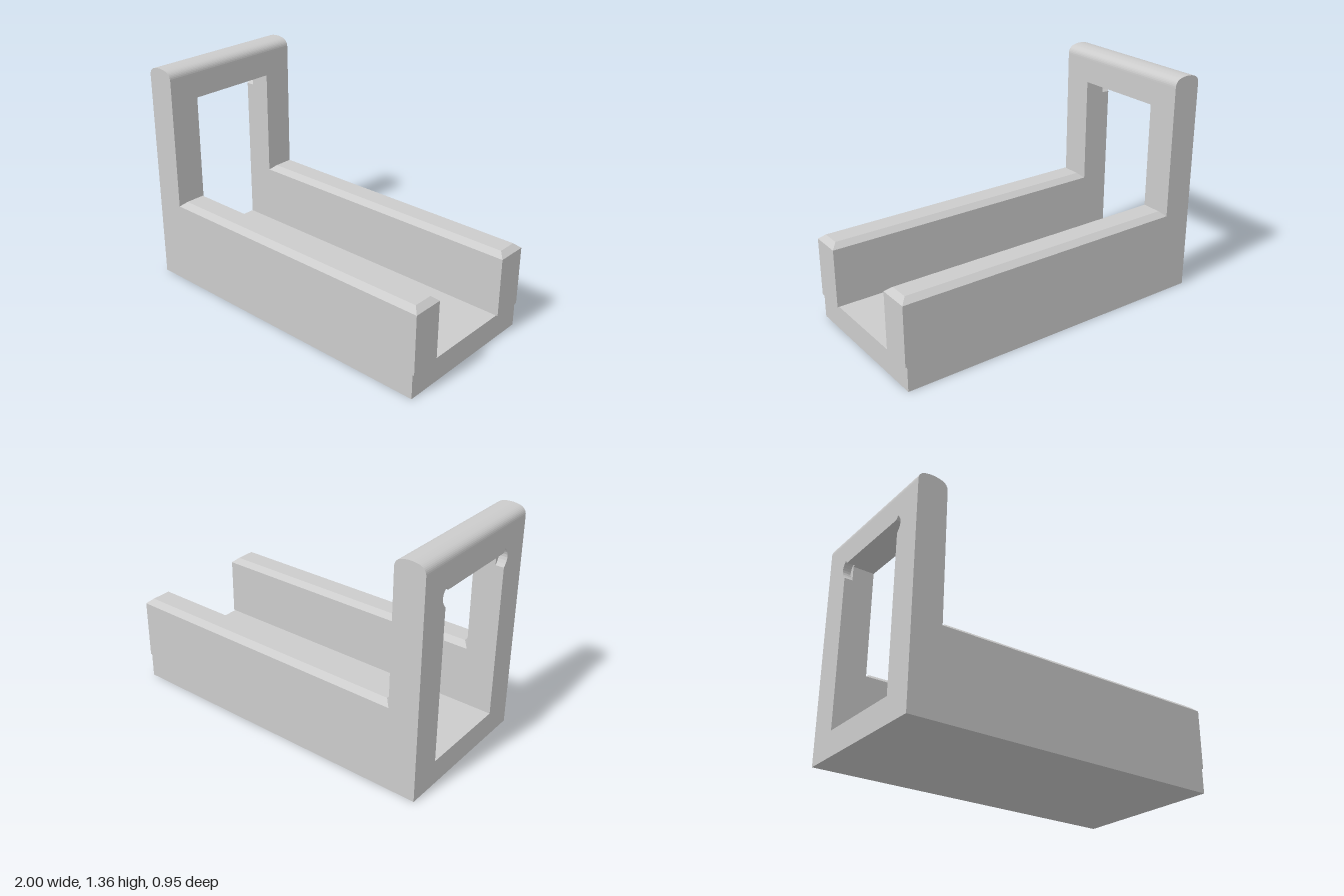
import * as THREE from 'three';

const W = 0.475;   // half width
const IN = 0.285;  // half width of the channel and opening
const FLOOR = 0.15;
const CAP = 1.25;  // height where the top bar's rounded cap begins

const material = new THREE.MeshStandardMaterial({ color: 0xcccccc, flatShading: true });

function mesh(name, geometry) {
  const m = new THREE.Mesh(geometry, material);
  m.name = name;
  return m;
}

// Upright frame slice in the z-y plane, extruded from x towards -x
function frameSlice(x, depth, notched) {
  const shape = new THREE.Shape();
  shape.moveTo(-W, 0).lineTo(W, 0).lineTo(W, CAP).lineTo(-W, CAP).closePath();
  const hole = new THREE.Path();
  hole.moveTo(-IN, FLOOR);
  if (notched) {
    // shallow relief in both upper corners
    hole.lineTo(-IN, 1.07).quadraticCurveTo(-IN - 0.05, 1.12, -IN - 0.015, 1.165).lineTo(-IN, 1.18);
    hole.lineTo(-IN + 0.015, 1.16).lineTo(IN - 0.015, 1.16).lineTo(IN, 1.18);
    hole.lineTo(IN + 0.015, 1.165).quadraticCurveTo(IN + 0.05, 1.12, IN, 1.07);
  } else {
    hole.lineTo(-IN, 1.16).lineTo(IN, 1.16);
  }
  hole.lineTo(IN, FLOOR).closePath();
  shape.holes.push(hole);
  const g = new THREE.ExtrudeGeometry(shape, { depth, bevelEnabled: false, curveSegments: 6 });
  g.rotateY(-Math.PI / 2);
  return g.translate(x, 0, 0);
}

// Rounded crown of the frame, profile in x-y
function crown() {
  const s = new THREE.Shape();
  s.moveTo(-1, CAP).lineTo(-0.82, CAP).lineTo(-0.82, 1.305);
  s.quadraticCurveTo(-0.82, 1.345, -0.86, 1.357);
  s.quadraticCurveTo(-0.91, 1.37, -0.96, 1.357);
  s.quadraticCurveTo(-1, 1.345, -1, 1.305).closePath();
  const g = new THREE.ExtrudeGeometry(s, { depth: 2 * W, bevelEnabled: false, curveSegments: 8 });
  return g.translate(0, 0, -W);
}

// Side wall whose upper edges are chamfered on all four sides
function railWall() {
  const x0 = -0.82, x1 = 1, z0 = IN, z1 = W, c = 0.035;
  const ring = (y, i) => [[x0 + i, y, z1 - i], [x1 - i, y, z1 - i], [x1 - i, y, z0 + i], [x0 + i, y, z0 + i]];
  const rings = [ring(FLOOR, 0), ring(0.51, 0), ring(0.54, c)];
  const pos = [];
  const quad = (a, b, d, e) => pos.push(...a, ...b, ...d, ...a, ...d, ...e);
  for (let r = 0; r < 2; r++) {
    for (let k = 0; k < 4; k++) {
      const n = (k + 1) % 4;
      quad(rings[r][k], rings[r][n], rings[r + 1][n], rings[r + 1][k]);
    }
  }
  quad(...rings[2]);
  quad(...[...rings[0]].reverse());
  const g = new THREE.BufferGeometry();
  g.setAttribute('position', new THREE.Float32BufferAttribute(pos, 3));
  g.computeVertexNormals();
  return g;
}

export function createModel() {
  const model = new THREE.Group();
  model.name = 'channelHolder';

  // Floor plate, slightly shorter than the walls
  const floor = mesh('floorPlate', new THREE.BoxGeometry(1.81, FLOOR, 2 * W));
  floor.position.set(0.085, FLOOR / 2, 0);
  model.add(floor);

  // Two side walls
  const frontWall = mesh('frontWall', railWall());
  const backWall = mesh('backWall', railWall());
  backWall.position.z = -(W + IN);
  model.add(frontWall, backWall);

  // Upright end frame
  const frame = new THREE.Group();
  frame.name = 'endFrame';
  frame.add(mesh('frameInner', frameSlice(-0.82, 0.13, false)));
  frame.add(mesh('frameOuter', frameSlice(-0.95, 0.05, true)));
  frame.add(mesh('frameCrown', crown()));
  model.add(frame);

  return model;
}
